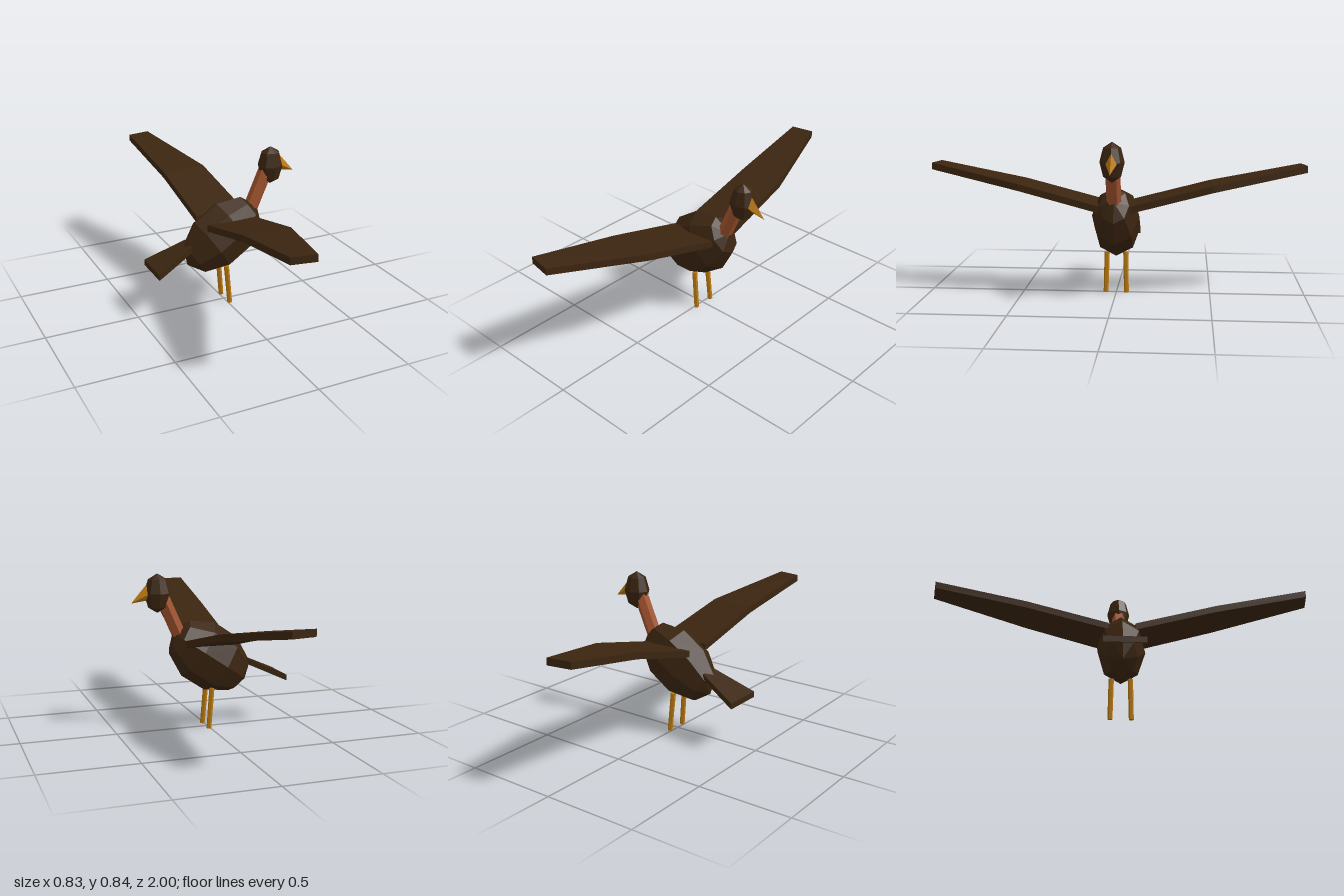
import * as THREE from 'three';

// Faceted normals for the low-poly look
function flat(geo) {
  const g = geo.index ? geo.toNonIndexed() : geo;
  g.computeVertexNormals();
  return g;
}

// Solid through four-cornered cross-sections, corners counter-clockwise seen from the far end
function loft(sections, flip = false) {
  const pos = [];
  const quad = (a, b, c, d) => {
    for (const p of flip ? [a, c, b, a, d, c] : [a, b, c, a, c, d]) pos.push(...p);
  };
  for (let i = 0; i < sections.length - 1; i++) {
    const s = sections[i], t = sections[i + 1];
    for (let j = 0; j < 4; j++) quad(s[j], s[(j + 1) % 4], t[(j + 1) % 4], t[j]);
  }
  const f = sections[0], l = sections[sections.length - 1];
  quad(f[3], f[2], f[1], f[0]);
  quad(l[0], l[1], l[2], l[3]);
  const g = new THREE.BufferGeometry();
  g.setAttribute('position', new THREE.Float32BufferAttribute(pos, 3));
  g.computeVertexNormals();
  return g;
}

// Tapered rod from point a to point b
function rod(a, b, rA, rB, sides) {
  const from = new THREE.Vector3(...a), to = new THREE.Vector3(...b);
  const dir = to.clone().sub(from);
  const g = new THREE.CylinderGeometry(rB, rA, dir.length(), sides);
  g.applyQuaternion(new THREE.Quaternion().setFromUnitVectors(new THREE.Vector3(0, 1, 0), dir.normalize()));
  const mid = from.add(to).multiplyScalar(0.5);
  g.translate(mid.x, mid.y, mid.z);
  return flat(g);
}

export function createModel() {
  const bird = new THREE.Group();
  bird.name = 'bird';

  const material = (name, color) => {
    const m = new THREE.MeshStandardMaterial({ color });
    m.name = name;
    return m;
  };
  const feathers = material('dark brown feathers', 0x3b2510);
  const skin = material('reddish neck skin', 0xa0522d);
  const horn = material('golden horn', 0xb8780f);

  const add = (name, geo, mat) => {
    const mesh = new THREE.Mesh(geo, mat);
    mesh.name = name;
    bird.add(mesh);
    return mesh;
  };

  // Body: stretched sphere, chest tilted up
  const body = new THREE.SphereGeometry(1, 8, 5);
  body.scale(0.175, 0.245, 0.131).rotateZ(-0.974).translate(-0.01, 0.383, 0);
  add('body', flat(body), feathers);

  // Head, neck and beak
  const head = new THREE.SphereGeometry(1, 8, 4);
  head.scale(0.07, 0.1025, 0.063).translate(0.273, 0.7325, 0);
  add('head', flat(head), feathers);
  add('neck', rod([0.148, 0.487, 0], [0.255, 0.73, 0], 0.038, 0.038, 6), skin);
  const beak = rod([0.305, 0.743, 0], [0.412, 0.685, 0], 0.046, 0, 4);
  beak.scale(1, 1, 0.8);
  add('beak', flat(beak), horn);

  // Tail: flat fan widening to the back
  const tailSection = (x, y, halfWidth) => [
    [x, y, -halfWidth], [x, y, halfWidth], [x, y + 0.031, halfWidth], [x, y + 0.031, -halfWidth],
  ];
  add('tail', loft([tailSection(-0.203, 0.338, 0.052), tailSection(-0.415, 0.242, 0.107)]), feathers);

  for (const [side, s] of [['left', 1], ['right', -1]]) {
    // Wings: back edge x and z, front edge x and z, underside height
    const stations = [
      [-0.128, 0.07, 0.146, 0.07, 0.449],
      [-0.135, 0.5, 0.114, 0.51, 0.56],
      [-0.16, 0.978, -0.035, 1.0, 0.65],
    ];
    const sections = stations.map(([bx, bz, fx, fz, y]) => [
      [bx, y, s * bz], [fx, y, s * fz], [fx, y + 0.036, s * fz], [bx, y + 0.036, s * bz],
    ]);
    add(side + 'Wing', loft(sections, s < 0), feathers);

    // Legs
    add(side + 'Leg', rod([0.01, 0.001, s * 0.055], [-0.008, 0.218, s * 0.05], 0.013, 0.014, 6), horn);
  }

  return bird;
}
